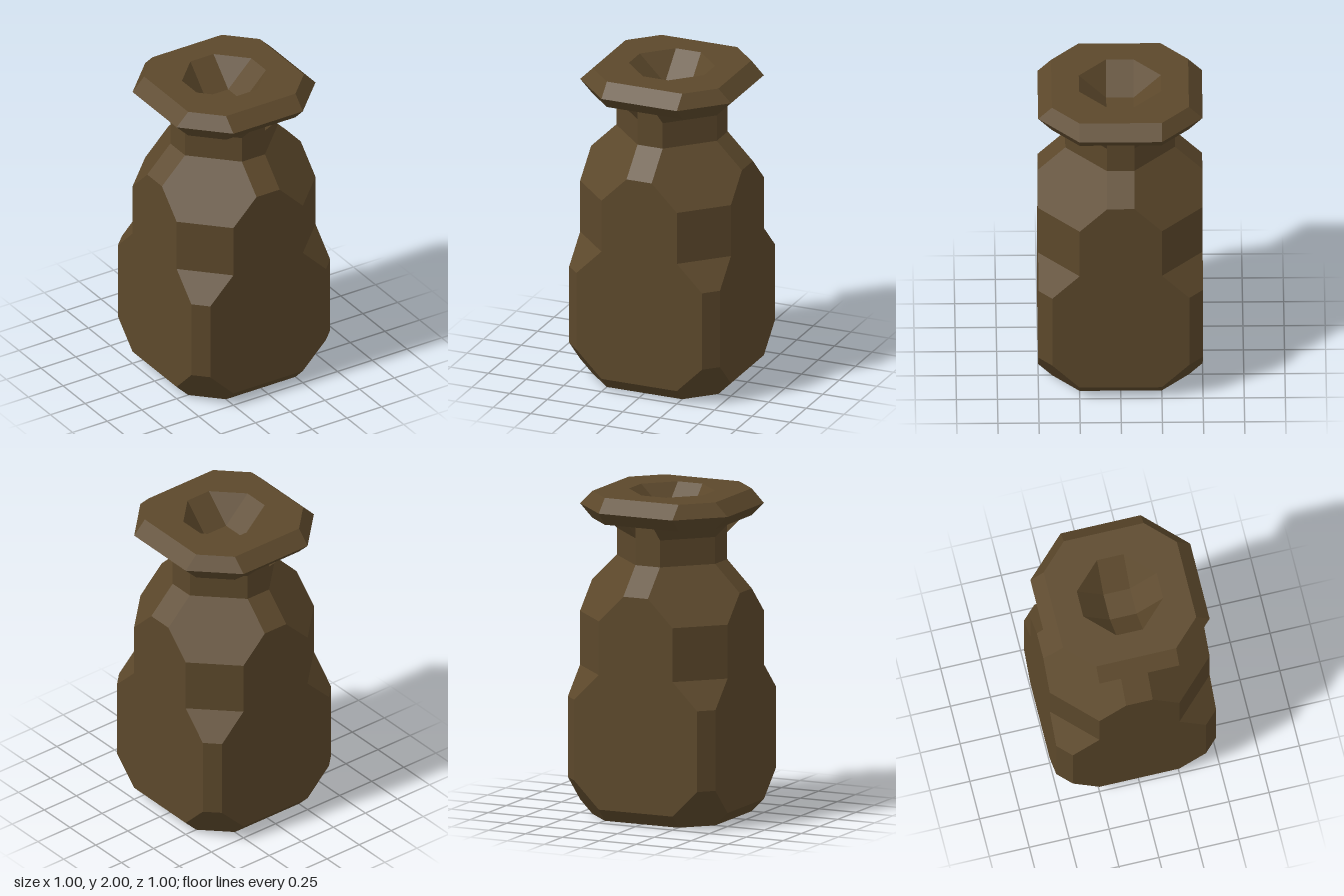
import * as THREE from 'three';

const U = 1 / 12; // all sizes are multiples of this step

const material = new THREE.MeshStandardMaterial({ color: 0x5c482b, flatShading: true });

// Octagon ring [height, half width, half length of the flat sides], in steps
function ring([y, w, c]) {
  return [[c, w], [w, c], [w, -c], [c, -w], [-c, -w], [-w, -c], [-w, c], [-c, w]]
    .map(([x, z]) => new THREE.Vector3(x * U, y * U, z * U));
}

// Collects triangles, leaving out those without area
function addFace(out, a, b, c, d) {
  for (const t of d ? [[a, b, c], [a, c, d]] : [[a, b, c]]) {
    if (new THREE.Triangle(...t).getArea() > 1e-6) t.forEach(p => out.push(p.x, p.y, p.z));
  }
}

// Joins each ring to the next; even sides are corners, odd sides are flats
function loft(out, profile, cornersOnly = false) {
  const rings = profile.map(ring);
  for (let r = 0; r + 1 < rings.length; r++) {
    for (let i = 0; i < 8; i++) {
      if (cornersOnly && i % 2) continue;
      const j = (i + 1) % 8;
      addFace(out, rings[r][i], rings[r][j], rings[r + 1][j], rings[r + 1][i]);
    }
  }
}

// Upright recess under the rim on each flat side, between the corner brackets
function notches(out, lower, upper) {
  const lo = ring(lower), up = ring(upper);
  for (let i = 1; i < 8; i += 2) {
    const j = (i + 1) % 8;
    const a = lo[i], b = lo[j];
    const ma = a.clone().setY(up[i].y), mb = b.clone().setY(up[j].y);
    addFace(out, a, b, mb, ma);
    addFace(out, ma, mb, up[j], up[i]);
    addFace(out, a, ma, up[i]);
    addFace(out, b, up[j], mb);
  }
}

function part(name, build) {
  const positions = [];
  build(positions);
  const geometry = new THREE.BufferGeometry();
  geometry.setAttribute('position', new THREE.Float32BufferAttribute(positions, 3));
  geometry.computeVertexNormals();
  const mesh = new THREE.Mesh(geometry, material);
  mesh.name = name;
  return mesh;
}

export function createModel() {
  const group = new THREE.Group();
  group.name = 'jar';

  // Base, belly, waist and sloping shoulder
  group.add(part('body', out => loft(out, [
    [0, 0, 0], [0, 5, 3], [1, 6, 3], [3, 6, 5], [9, 6, 5],
    [11, 6, 3], [15, 6, 3], [17, 6, 1], [19, 4, 1],
  ])));

  // Neck with corner brackets that hold the rim
  group.add(part('neck', out => {
    loft(out, [[19, 4, 1], [21, 4, 1]]);
    loft(out, [[21, 4, 1], [22, 5, 1]], true);
    notches(out, [21, 4, 1], [22, 5, 1]);
  }));

  // Bevelled rim, from its underside to the edge of the mouth
  group.add(part('rim', out => loft(out, [
    [22, 5, 1], [22, 5, 3], [23, 6, 3], [24, 5, 3], [24, 3, 1],
  ])));

  // Funnel-shaped mouth with a small square floor
  group.add(part('mouth', out => loft(out, [[24, 3, 1], [22, 1, 1], [22, 0, 0]])));

  return group;
}
